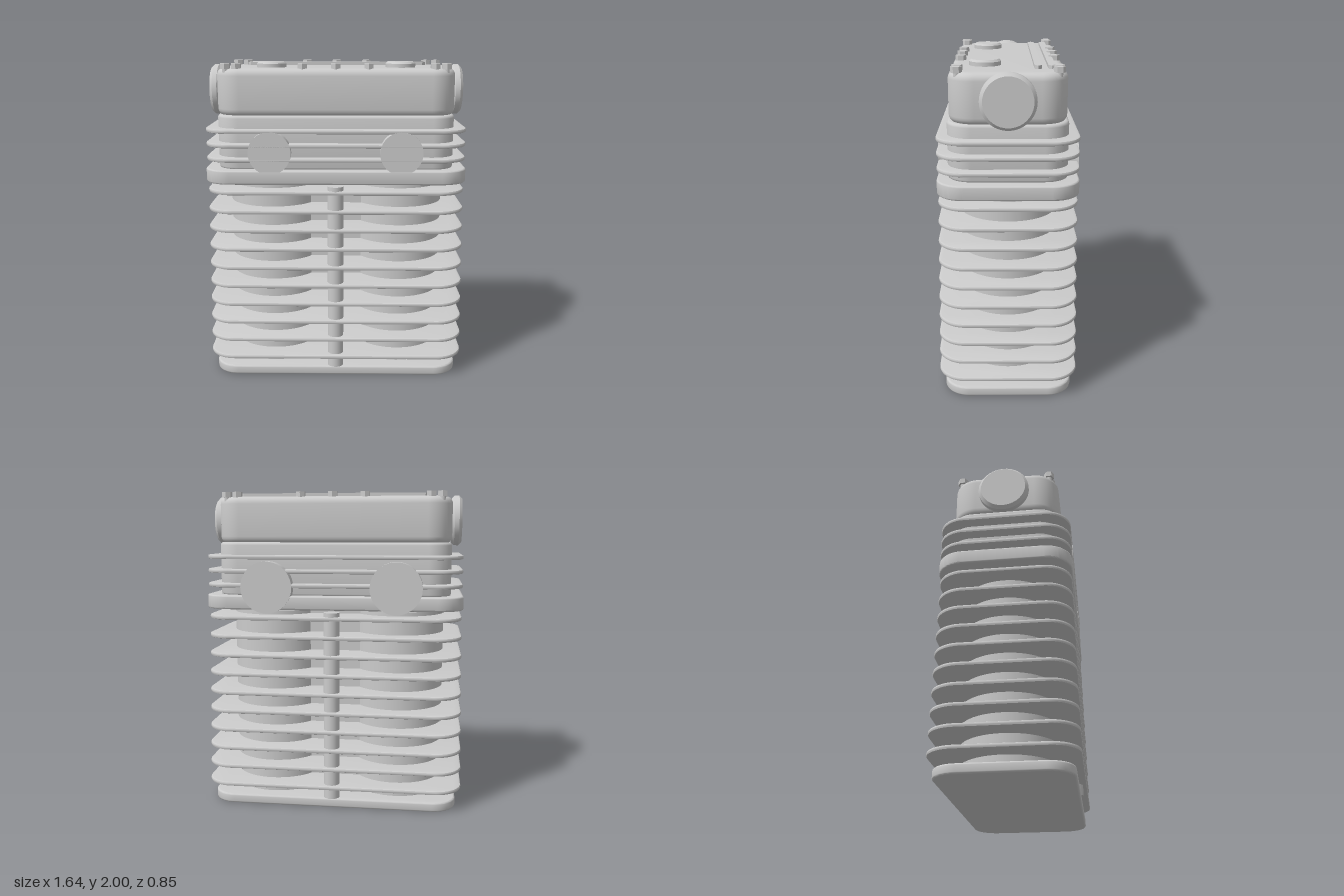
import * as THREE from 'three';
import { toCreasedNormals } from 'three/addons/utils/BufferGeometryUtils.js';

export function createModel() {
  const model = new THREE.Group();
  const material = new THREE.MeshStandardMaterial({ color: 0xcccccc });

  const add = (name, geometry, x = 0, y = 0, z = 0) => {
    const mesh = new THREE.Mesh(geometry, material);
    mesh.name = name;
    mesh.position.set(x, y, z);
    model.add(mesh);
    return mesh;
  };

  // Horizontal rounded-rectangle slab between two heights, with rounded edges
  const slab = (name, w, d, r, y0, y1, bevel, steps = 3) => {
    const a = w - bevel, b = d - bevel, c = r - bevel;
    const s = new THREE.Shape();
    s.moveTo(-a + c, -b);
    s.lineTo(a - c, -b);
    s.absarc(a - c, -b + c, c, -Math.PI / 2, 0);
    s.lineTo(a, b - c);
    s.absarc(a - c, b - c, c, 0, Math.PI / 2);
    s.lineTo(-a + c, b);
    s.absarc(-a + c, b - c, c, Math.PI / 2, Math.PI);
    s.lineTo(-a, -b + c);
    s.absarc(-a + c, -b + c, c, Math.PI, Math.PI * 1.5);
    const geo = new THREE.ExtrudeGeometry(s, {
      depth: y1 - y0 - 2 * bevel, bevelEnabled: true, bevelSize: bevel,
      bevelThickness: bevel, bevelSegments: steps, curveSegments: 10,
    });
    geo.translate(0, 0, bevel).rotateX(-Math.PI / 2);
    return add(name, toCreasedNormals(geo, 0.7), 0, y0, 0);
  };

  // Disc with chamfered rims, centred on its own y axis
  const disc = (r, h, bottom, top) => toCreasedNormals(new THREE.LatheGeometry([
    [0, -h / 2], [r - bottom, -h / 2], [r, -h / 2 + bottom],
    [r, h / 2 - top], [r - top, h / 2], [0, h / 2],
  ].map(([x, y]) => new THREE.Vector2(x, y)), 40), 0.5);

  // Cylinder block: base flange, two barrels, web and front/back tubes
  slab('baseFlange', 0.788, 0.389, 0.15, 0, 0.06, 0.012);
  for (const x of [-0.4, 0.4]) {
    add('barrel', new THREE.CylinderGeometry(0.293, 0.293, 1.215, 48), x, 0.6475, 0);
  }
  add('barrelWeb', new THREE.BoxGeometry(0.4, 1.215, 0.34), 0, 0.6475, 0);
  for (const z of [-0.35, 0.35]) {
    add('pushrodTube', new THREE.CylinderGeometry(0.05, 0.05, 1.195, 24), 0, 0.6575, z);
  }

  // Barrel fins, shrinking slightly toward the top
  for (let i = 0; i < 10; i++) {
    const y = 0.137 + i * 0.12, t = i / 9;
    slab('barrelFin', 0.822 - 0.02 * t, 0.423 - 0.02 * t, 0.17, y - 0.0125, y + 0.0125, 0.009, 2);
  }

  // Cylinder head: deck, core and fins
  slab('headDeck', 0.81, 0.407, 0.16, 1.272, 1.358, 0.01);
  slab('headCore', 0.732, 0.345, 0.14, 1.35, 1.685, 0.018);
  for (const y of [1.42, 1.508, 1.595]) {
    slab('headFin', 0.803, 0.406, 0.16, y - 0.0125, y + 0.0125, 0.009, 2);
  }

  // Ports: smaller at the front, larger and lower at the back
  for (const x of [-0.4, 0.4]) {
    add('frontPort', new THREE.CylinderGeometry(0.13, 0.13, 0.2, 40), x, 1.465, 0.306).rotation.x = Math.PI / 2;
    add('backPort', new THREE.CylinderGeometry(0.16, 0.16, 0.2, 40), x, 1.41, -0.312).rotation.x = Math.PI / 2;
  }

  // Rocker cover with round end caps
  slab('rockerCover', 0.732, 0.333, 0.15, 1.675, 1.965, 0.045, 5);
  for (const side of [-1, 1]) {
    add('endCap', disc(0.157, 0.065, 0.018, 0.018), side * 0.762, 1.82, 0).rotation.z = -side * Math.PI / 2;
    add('fillerCap', disc(0.092, 0.05, 0.001, 0.012), side * 0.4, 1.975, 0.13);
  }

  // Pointed ribs on the cover
  for (const z of [-0.245, -0.168]) {
    const s = new THREE.Shape();
    s.moveTo(-0.585, 0);
    for (const [x, y] of [[-0.565, -0.021], [0.565, -0.021], [0.585, 0], [0.565, 0.021], [-0.565, 0.021]]) s.lineTo(x, y);
    const rib = new THREE.ExtrudeGeometry(s, { depth: 0.04, bevelEnabled: false }).rotateX(-Math.PI / 2);
    add('coverRib', rib, 0, 1.945, z);
  }

  // Hex bolts along both long edges
  for (const z of [-0.28, 0.28]) {
    for (const x of [-0.667, -0.6, -0.2, 0, 0.2, 0.6, 0.667]) {
      const head = new THREE.CylinderGeometry(0.032, 0.032, 0.034, 6);
      add('boltHead', toCreasedNormals(head, 0.5), x, 1.977, z);
      add('boltShank', new THREE.CylinderGeometry(0.018, 0.018, 0.08, 12), x, 1.925, z);
    }
  }

  return model;
}
